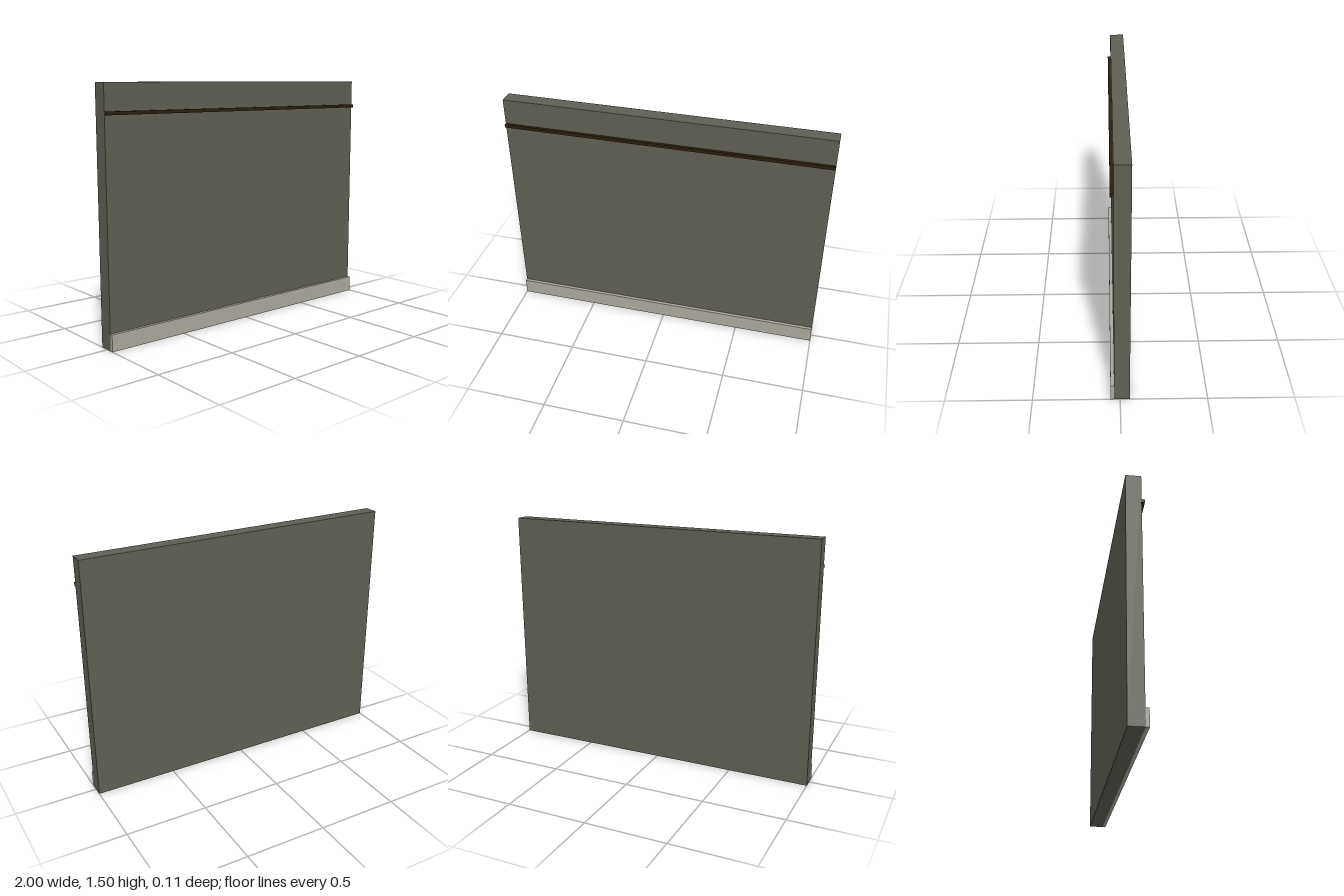
import * as THREE from 'three';

const material = (name, color) => {
  const m = new THREE.MeshStandardMaterial({ color });
  m.name = name;
  return m;
};

export function createModel() {
  const model = new THREE.Group();
  model.name = 'wallPanel';

  // Full-width box given by its bottom, top, back and front
  const addSlab = (name, mat, y0, y1, z0, z1) => {
    const mesh = new THREE.Mesh(new THREE.BoxGeometry(2, y1 - y0, z1 - z0), mat);
    mesh.name = name;
    mesh.position.set(0, (y0 + y1) / 2, (z0 + z1) / 2);
    model.add(mesh);
  };

  // Wall, skirting board along the floor, and thin picture rail near the top
  addSlab('wall', material('greyGreenPaint', 0x605f54), 0, 1.5, -0.055, 0.035);
  addSlab('skirtingBoard', material('paleStone', 0xacaa9e), 0, 0.1, 0.035, 0.055);
  addSlab('pictureRail', material('darkWood', 0x2b1f0e), 1.322, 1.342, 0.035, 0.053);

  return model;
}
